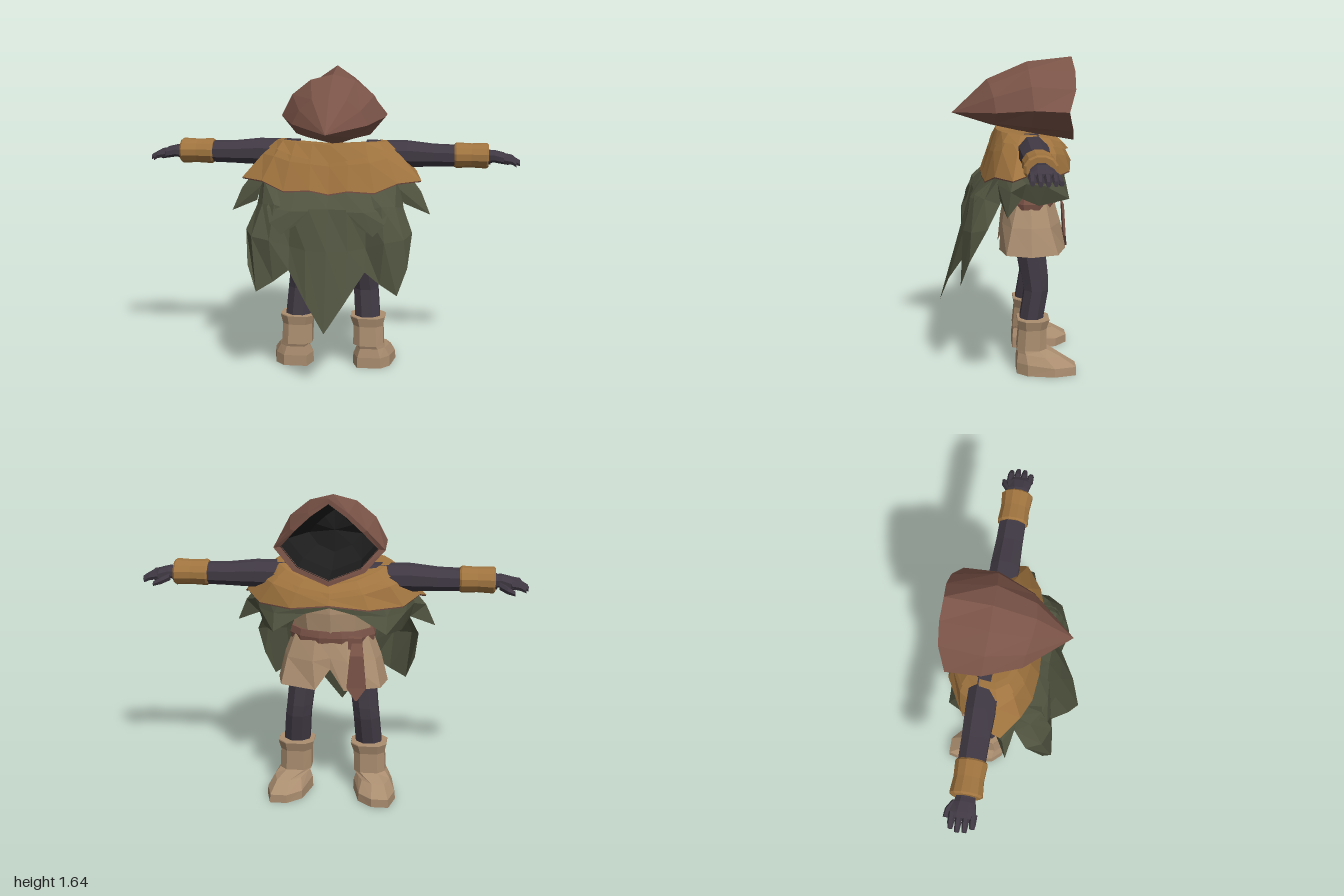
import * as THREE from 'three';

const mat = (name, color, side = THREE.DoubleSide) =>
  Object.assign(new THREE.MeshStandardMaterial({ color, side, flatShading: true }), { name });

// Skin a list of equal-length point rings; closed rings wrap round, caps fill the ends.
function loft(rings, { closed = true, caps = [true, true] } = {}) {
  const n = rings[0].length, pos = [], tris = [];
  const tri = (a, b, c) => tris.push([a, b, c].map(p => new THREE.Vector3(...p)));
  for (let i = 0; i < rings.length - 1; i++)
    for (let j = 0; j < (closed ? n : n - 1); j++) {
      const k = (j + 1) % n, A = rings[i], B = rings[i + 1];
      tri(A[j], A[k], B[k]);
      tri(A[j], B[k], B[j]);
    }
  const mid = r => [0, 1, 2].map(a => r.reduce((s, p) => s + p[a], 0) / r.length);
  const cap = (r, flip) => r.forEach((p, j) => {
    const q = r[(j + 1) % n];
    flip ? tri(mid(r), q, p) : tri(mid(r), p, q);
  });
  if (closed && caps[0]) cap(rings[0], true);
  if (closed && caps[1]) cap(rings[rings.length - 1], false);
  // turn the shell outward when its signed volume is negative
  const c = new THREE.Vector3(...mid(rings.map(mid)));
  let vol = 0;
  for (const [a, b, d] of tris)
    vol += a.clone().sub(c).dot(b.clone().sub(c).cross(d.clone().sub(c)));
  for (const [a, b, d] of tris)
    for (const p of vol < 0 ? [a, d, b] : [a, b, d]) pos.push(p.x, p.y, p.z);
  const g = new THREE.BufferGeometry();
  g.setAttribute('position', new THREE.Float32BufferAttribute(pos, 3));
  g.computeVertexNormals();
  return g;
}

// Complete a half outline that starts and ends on x = 0
const full = h => [...h, ...h.slice(1, -1).reverse().map(([x, y, z]) => [-x, y, z])];
// Complete an open half strip that starts on x = 0
const strip = h => [...h.slice(1).reverse().map(([x, y, z]) => [-x, y, z]), ...h];
const around = (n, f) => Array.from({ length: n }, (_, i) => {
  const a = (i + 0.5) / n * Math.PI * 2;
  return f(Math.cos(a), Math.sin(a));
});
const ringX = (x, y, z, ry, rz, n = 8) => around(n, (c, s) => [x, y + ry * c, z + rz * s]);
const ringY = (y, x, z, rx, rz, n = 8) => around(n, (c, s) => [x + rx * c, y, z + rz * s]);
const flipX = (rings, s) => rings.map(r => r.map(([x, y, z]) => [x * s, y, z]));

export function createModel() {
  const root = new THREE.Group();
  root.name = 'hoodedFigure';
  const leather = mat('russetCloth', 0x7a5347), ochre = mat('ochreCloth', 0xa0743f);
  const green = mat('mossCloth', 0x50533f), tan = mat('tanLeather', 0xab8e70);
  const dark = mat('darkSuit', 0x403944), black = mat('hoodShadow', 0x1d1d1d);
  const add = (name, geo, m) => {
    const mesh = new THREE.Mesh(geo, m);
    mesh.name = name;
    root.add(mesh);
  };

  // Hood: diamond opening at -z, tapering to a point at +z
  const opening = full([[0, 1.645, -0.345], [0.1, 1.575, -0.355], [0.19, 1.49, -0.35],
    [0.28, 1.385, -0.31], [0.18, 1.275, -0.34], [0, 1.205, -0.36]]);
  const inset = (k, dz) => opening.map(([x, y, z]) => [x * k, 1.41 + (y - 1.41) * k, z + dz]);
  add('hood', loft([
    inset(0.87, 0.02), inset(0.88, 0), opening,
    full([[0, 1.62, -0.11], [0.12, 1.59, -0.11], [0.22, 1.51, -0.12],
      [0.28, 1.395, -0.13], [0.2, 1.3, -0.12], [0, 1.25, -0.1]]),
    full([[0, 1.53, 0.1], [0.09, 1.51, 0.09], [0.16, 1.45, 0.07],
      [0.2, 1.375, 0.06], [0.12, 1.31, 0.06], [0, 1.29, 0.08]]),
    opening.map(() => [0, 1.355, 0.285]),
  ], { caps: [false, false] }), leather);
  add('hoodInterior', loft([inset(0.875, 0.004), inset(0.84, 0.18), inset(0.5, 0.3)],
    { caps: [false, true] }), black);
  add('neck', loft([ringY(1.15, 0, -0.1, 0.12, 0.09), ringY(1.235, 0, -0.1, 0.1, 0.08)]), dark);

  // Ochre mantle with a folded collar
  const mantleTop = full([[0, 1.265, 0.05], [0.09, 1.27, 0.045], [0.18, 1.275, 0.03], [0.25, 1.275, 0],
    [0.29, 1.27, -0.06], [0.28, 1.265, -0.14], [0.23, 1.245, -0.21], [0.13, 1.21, -0.27], [0, 1.19, -0.3]]);
  const mantleMid = full([[0, 1.16, 0.09], [0.1, 1.17, 0.09], [0.21, 1.18, 0.075], [0.3, 1.2, 0.035],
    [0.37, 1.2, -0.04], [0.37, 1.195, -0.15], [0.3, 1.18, -0.24], [0.17, 1.15, -0.3], [0, 1.13, -0.33]]);
  const mantleHem = full([[0, 1.02, 0.13], [0.1, 1.04, 0.135], [0.24, 1.03, 0.12], [0.36, 1.075, 0.075],
    [0.48, 1.075, -0.01], [0.45, 1.11, -0.12], [0.37, 1.075, -0.23], [0.2, 1.075, -0.32], [0, 1.1, -0.345]]);
  add('mantle', loft([mantleTop, mantleMid, mantleHem], { caps: [true, false] }), ochre);
  add('mantleTrim', loft([mantleHem, mantleHem.map(([x, y, z]) => [x * 0.99, y - 0.007, z])],
    { caps: [false, false] }), leather);
  const grow = (r, k, dy) => r.map(([x, y, z]) => [x * k, y + dy, -0.12 + (z + 0.12) * k]);
  add('collar', loft([grow(mantleTop, 0.9, 0.005), grow(mantleTop, 1.02, 0.004),
    mantleTop.map(([x, y, z], i) => {
      const [u, v, w] = mantleMid[i];
      return [(x + u) / 2 * 1.03, (y + v) / 2 - (z > 0 ? 0.04 * (1 - Math.abs(x) / 0.3) : 0),
        -0.12 + ((z + w) / 2 + 0.12) * 1.09];
    })], { caps: [false, false] }), ochre);

  // Long ragged cloak hanging away from the back, tucked under the mantle
  add('cloak', loft([
    strip([[0, 1.12, 0.07], [0.1, 1.12, 0.07], [0.2, 1.12, 0.055], [0.28, 1.13, 0.02], [0.34, 1.13, -0.02], [0.36, 1.13, -0.06]]),
    strip([[0, 1.03, 0.105], [0.1, 1.045, 0.105], [0.2, 1.035, 0.095], [0.28, 1.045, 0.08], [0.35, 1.07, 0.05], [0.37, 1.08, -0.01]]),
    strip([[0, 0.95, 0.175], [0.1, 0.95, 0.18], [0.2, 0.94, 0.165], [0.28, 0.97, 0.175], [0.35, 0.96, 0.125], [0.39, 0.94, 0.05]]),
    strip([[0, 0.74, 0.245], [0.11, 0.74, 0.23], [0.2, 0.75, 0.185], [0.3, 0.79, 0.235], [0.4, 0.8, 0.195], [0.44, 0.82, 0.115]]),
    strip([[0, 0.33, 0.36], [0.1, 0.48, 0.31], [0.2, 0.63, 0.225], [0.28, 0.57, 0.24], [0.37, 0.515, 0.25], [0.42, 0.65, 0.205]]),
  ], { closed: false }), green);
  // Overlapping tatters on the cloak
  for (const s of [-1, 1])
    add('cloakTatter', loft(flipX([
      [[0.08, 1.035, 0.115], [0.18, 1.03, 0.11], [0.29, 1.04, 0.085]],
      [[0.1, 0.94, 0.19], [0.19, 0.94, 0.195], [0.32, 0.95, 0.165]],
      [[0.16, 0.87, 0.205], [0.24, 0.82, 0.222], [0.3, 0.88, 0.21]],
    ], s), { closed: false }), green);

  // Ragged green layer below the mantle at the shoulders and chest
  for (const s of [-1, 1])
    add('shoulderTatters', loft(flipX([
      [[0.33, 1.12, 0.04], [0.41, 1.11, -0.02], [0.4, 1.13, -0.1], [0.34, 1.12, -0.19], [0.25, 1.11, -0.26], [0.13, 1.12, -0.29], [0, 1.13, -0.31]],
      [[0.37, 1.04, 0.06], [0.48, 1.02, 0], [0.42, 1.05, -0.08], [0.38, 1.03, -0.18], [0.29, 1.03, -0.27], [0.13, 1.07, -0.3], [0, 1.1, -0.32]],
      [[0.39, 0.965, 0.05], [0.53, 0.9, 0.02], [0.4, 0.97, -0.06], [0.36, 0.925, -0.15], [0.29, 0.945, -0.31], [0.13, 1.04, -0.3], [0, 1.08, -0.32]],
    ], s), { closed: false }), green);

  // Tunic, skirt with a narrow front notch, belt and hanging strap
  add('tunic', loft([ringY(0.88, 0, -0.12, 0.2, 0.135, 10), ringY(1.03, 0, -0.12, 0.22, 0.15, 10),
    ringY(1.18, 0, -0.12, 0.25, 0.14, 10)]), tan);
  add('skirt', loft([
    full([[0, 0.9, 0.01], [0.09, 0.9, 0.005], [0.19, 0.9, -0.05], [0.21, 0.9, -0.12], [0.19, 0.9, -0.2], [0.08, 0.9, -0.25], [0, 0.9, -0.255]]),
    full([[0, 0.8, 0.02], [0.11, 0.78, 0.025], [0.23, 0.78, -0.02], [0.255, 0.78, -0.12], [0.23, 0.78, -0.22], [0.09, 0.78, -0.285], [0, 0.8, -0.28]]),
    full([[0, 0.7, 0.03], [0.1, 0.635, 0.04], [0.26, 0.64, 0.01], [0.29, 0.635, -0.12], [0.26, 0.64, -0.26], [0.075, 0.635, -0.315], [0, 0.74, -0.285]]),
  ], { caps: [false, false] }), tan);
  add('belt', loft([ringY(0.87, 0, -0.12, 0.225, 0.145, 12), ringY(0.9, 0, -0.12, 0.23, 0.15, 12),
    ringY(0.935, 0, -0.12, 0.22, 0.143, 12)]), leather);
  const knot = new THREE.BoxGeometry(0.07, 0.06, 0.04);
  knot.translate(-0.13, 0.885, -0.275);
  add('beltKnot', knot, leather);
  add('beltStrap', loft([[0.9, 0.025, -0.29], [0.83, 0.035, -0.325], [0.66, 0.05, -0.335], [0.595, 0.005, -0.345]]
    .map(([y, w, z]) => [[-0.14 - w, y, z], [-0.14 + w, y, z], [-0.14 + w, y, z + 0.012], [-0.14 - w, y, z + 0.012]])), leather);

  for (const s of [-1, 1]) {
    const part = (name, rings, m, opt) => add(name, loft(flipX(rings, s), opt), m);

    // Legs, bent slightly at the knee
    part('leg', [ringY(0.88, 0.11, -0.12, 0.085, 0.09), ringY(0.64, 0.16, -0.125, 0.075, 0.08),
      ringY(0.5, 0.175, -0.145, 0.072, 0.074), ringY(0.44, 0.182, -0.15, 0.072, 0.068),
      ringY(0.26, 0.195, -0.12, 0.074, 0.066)], dark);

    // Boots: sole, instep, ankle, shaft flaring to an open-looking rim
    const sole = [[0.14, -0.045], [0.27, -0.045], [0.32, -0.1], [0.345, -0.24], [0.315, -0.355],
      [0.225, -0.355], [0.15, -0.29], [0.11, -0.13]];
    const shaft = (y, cx, cz, rx, rz) => [[-0.55, 1], [0.55, 1], [1, 0.5], [1, -0.5], [0.55, -1],
      [-0.55, -1], [-1, -0.5], [-1, 0.5]].map(([a, b]) => [cx + a * rx, y, cz + b * rz]);
    part('boot', [sole.map(([x, z]) => [x, 0, z]),
      sole.map(([x, z]) => [0.22 + (x - 0.22) * 0.97, z < -0.2 ? 0.045 : 0.06, z]),
      sole.map(([x, z]) => [0.205 + (x - 0.205) * 0.75, z < -0.2 ? 0.095 : 0.11, -0.07 + (z + 0.07) * 0.72]),
      shaft(0.125, 0.2, -0.125, 0.084, 0.078), shaft(0.235, 0.197, -0.13, 0.082, 0.073),
      shaft(0.285, 0.195, -0.133, 0.096, 0.085), shaft(0.29, 0.195, -0.133, 0.094, 0.083)], tan);

    // Arms and bracers
    part('arm', [ringX(0.18, 1.195, -0.12, 0.078, 0.082), ringX(0.4, 1.2, -0.12, 0.073, 0.08),
      ringX(0.54, 1.195, -0.12, 0.062, 0.074), ringX(0.68, 1.195, -0.12, 0.058, 0.072),
      ringX(0.84, 1.19, -0.12, 0.04, 0.05)], dark);
    part('bracer', [ringX(0.65, 1.197, -0.12, 0.062, 0.074, 12), ringX(0.66, 1.197, -0.12, 0.068, 0.082, 12),
      ringX(0.74, 1.197, -0.12, 0.064, 0.077, 12), ringX(0.82, 1.197, -0.12, 0.068, 0.084, 12),
      ringX(0.83, 1.197, -0.12, 0.06, 0.072, 12)], ochre);

    // Hands with drooping fingers
    part('palm', [ringX(0.81, 1.19, -0.12, 0.035, 0.045), ringX(0.86, 1.195, -0.12, 0.033, 0.058),
      ringX(0.91, 1.185, -0.122, 0.03, 0.07), ringX(0.935, 1.175, -0.122, 0.024, 0.066)], dark);
    [0.985, 0.998, 0.995, 0.975].forEach((tip, i) => {
      const z = -0.173 + i * 0.035;
      part('finger', [ringX(0.91, 1.185, z, 0.02, 0.018, 6), ringX(0.955, 1.178, z, 0.02, 0.017, 6),
        ringX(tip, 1.16, z, 0.014, 0.012, 6)], dark);
    });
    part('thumb', [ringX(0.85, 1.18, -0.165, 0.022, 0.02, 6), ringX(0.89, 1.165, -0.195, 0.02, 0.018, 6),
      ringX(0.93, 1.15, -0.205, 0.013, 0.013, 6)], dark);
  }
  return root;
}
